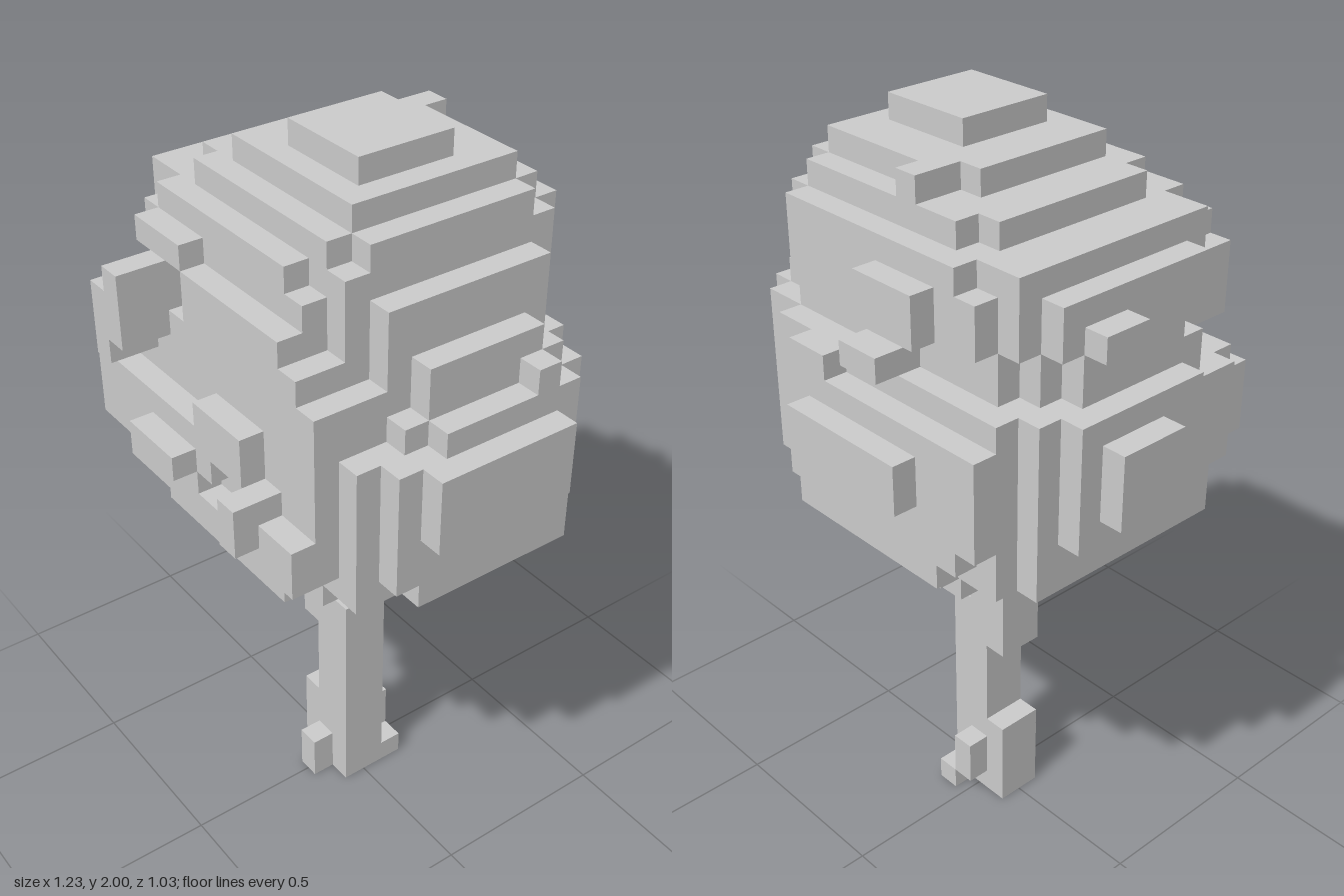
import * as THREE from 'three';

const S = 2 / 31; // edge of one cube; the grid is 19 x 31 x 16 cubes
const key = (x, y, z) => x + 32 * (y + 32 * z);

// Fill a block of cubes from edge to edge
function fill(set, x0, x1, y0, y1, z0, z1) {
  for (let x = x0; x < x1; x++)
    for (let y = y0; y < y1; y++)
      for (let z = z0; z < z1; z++) set.add(key(x, y, z));
}

// Build a mesh from the exposed cube faces only
function cubesMesh(set, name) {
  const pos = [];
  const index = [];
  for (const k of set) {
    const c = [k % 32, (k >> 5) % 32, k >> 10];
    for (let a = 0; a < 3; a++) {
      for (const d of [-1, 1]) {
        const n = [...c];
        n[a] += d;
        if (n.every((v) => v >= 0) && set.has(key(...n))) continue;
        const b = (a + 1) % 3;
        const e = (a + 2) % 3;
        const start = pos.length / 3;
        for (const [p, q] of [[0, 0], [1, 0], [1, 1], [0, 1]]) {
          const v = [...c];
          v[a] += d > 0 ? 1 : 0;
          v[b] += p;
          v[e] += q;
          pos.push((v[0] - 9.5) * S, v[1] * S, (v[2] - 8) * S);
        }
        const order = d > 0 ? [0, 1, 2, 0, 2, 3] : [0, 2, 1, 0, 3, 2];
        index.push(...order.map((i) => i + start));
      }
    }
  }
  const g = new THREE.BufferGeometry();
  g.setAttribute('position', new THREE.Float32BufferAttribute(pos, 3));
  g.setIndex(index);
  g.computeVertexNormals();
  const mesh = new THREE.Mesh(g, new THREE.MeshStandardMaterial({ color: 0xcccccc, flatShading: true }));
  mesh.name = name;
  return mesh;
}

// Plan outline of the crown: x range of each row, from back to front
const PLAN = [
  [6, 12], [3, 13], [3, 15], [2, 17], [1, 18], [0, 19], [0, 19], [0, 19],
  [1, 19], [1, 19], [2, 19], [2, 18], [2, 17], [3, 16], [3, 16], [5, 10],
];

// Crown layers from the bottom up: x0, x1, z0, z1, squareness
const LAYERS = [
  [6, 12, 5, 11, 8], [5, 14, 3, 12, 6], [3, 16, 2, 14, 3.2],
  [2, 18, 1, 14, 3.5], [2, 18, 1, 14, 4], [1, 18, 1, 14, 4],
  [0, 19, 0, 14, 5], [0, 19, 0, 14, 5], [0, 19, 1, 14, 5],
  [1, 18, 2, 12, 4], [2, 17, 3, 12, 3.6], [2, 17, 3, 12, 3.6],
  [2, 16, 2, 12, 4], [2, 16, 2, 13, 3.8], [3, 15, 2, 13, 4],
  [5, 15, 3, 12, 5], [7, 14, 4, 11, 5], [9, 13, 6, 10, 3],
];

// Stepped bulge on the front of the crown: layer, x0, x1, front edge
const FRONT = [
  [17, 5, 16, 15], [18, 3, 10, 15], [18, 14, 16, 15], [19, 3, 11, 15],
  [20, 3, 13, 15], [21, 10, 13, 15], [22, 5, 16, 14], [23, 6, 16, 14],
  [24, 8, 15, 14], [25, 8, 14, 14], [26, 5, 8, 14],
];

function crownCubes() {
  const set = new Set();
  LAYERS.forEach(([x0, x1, z0, z1, n], i) => {
    const y = 13 + i;
    for (let z = z0; z < z1; z++) {
      const [p0, p1] = PLAN[z];
      for (let x = Math.max(x0, p0); x < Math.min(x1, p1); x++) {
        const u = (2 * x + 1 - x0 - x1) / (x1 - x0);
        const v = (2 * z + 1 - z0 - z1) / (z1 - z0);
        const ragged = 1 + 0.12 * Math.sin(x * 1.9 + y * 1.3) * Math.cos(z * 1.7 - y);
        if (Math.abs(u) ** n + Math.abs(v) ** n < ragged) set.add(key(x, y, z));
      }
    }
  });
  for (const [y, x0, x1, z1] of FRONT) fill(set, x0, x1, y, y + 1, 11, z1);
  // Twigs that stand proud of the crown: front, right, back, left
  fill(set, 5, 6, 22, 25, 12, 16);
  fill(set, 6, 7, 23, 26, 12, 16);
  fill(set, 7, 10, 19, 20, 15, 16);
  fill(set, 13, 14, 18, 20, 14, 16);
  fill(set, 1, 3, 25, 26, 5, 7);
  fill(set, 6, 9, 25, 27, 1, 3);
  fill(set, 8, 10, 23, 24, 1, 4);
  fill(set, 11, 13, 22, 23, 1, 3);
  fill(set, 8, 9, 29, 30, 3, 4);
  fill(set, 16, 18, 22, 24, 5, 6);
  return set;
}

function trunkCubes() {
  const set = new Set();
  fill(set, 8, 11, 0, 4, 7, 9);
  fill(set, 9, 11, 4, 8, 7, 9);
  fill(set, 8, 11, 8, 10, 7, 9);
  fill(set, 8, 10, 10, 13, 7, 9);
  // root stubs, front and back
  fill(set, 9, 10, 0, 2, 9, 10);
  fill(set, 9, 10, 1, 3, 6, 7);
  fill(set, 10, 11, 0, 1, 6, 7);
  return set;
}

export function createModel() {
  const tree = new THREE.Group();
  tree.name = 'tree';
  tree.add(cubesMesh(trunkCubes(), 'trunk'), cubesMesh(crownCubes(), 'crown'));
  return tree;
}
